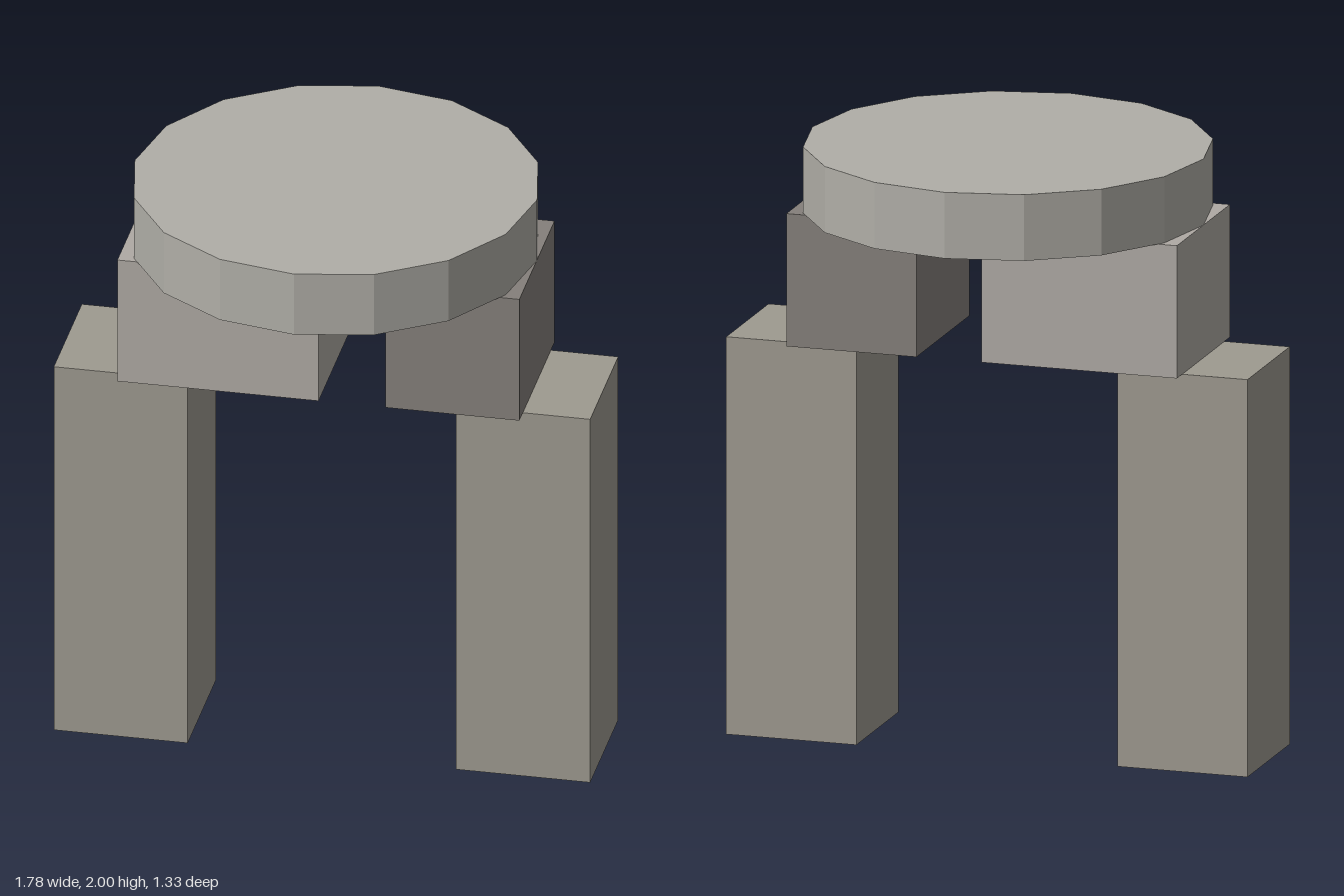
import * as THREE from 'three';

export function createModel() {
  const group = new THREE.Group();

  const add = (name, geometry, color, x, y) => {
    const material = new THREE.MeshStandardMaterial({ color, flatShading: true });
    const mesh = new THREE.Mesh(geometry, material);
    mesh.name = name;
    mesh.position.set(x, y, 0);
    group.add(mesh);
  };

  // Two square pillars
  const legHeight = 1.333;
  for (const [name, side] of [['leftPillar', 1], ['rightPillar', -1]]) {
    add(name, new THREE.BoxGeometry(0.444, legHeight, 0.444), 0x9e9a90, side * 0.667, legHeight / 2);
  }

  // Stepped-in blocks on the pillars, the right one reaching the middle
  const blockHeight = 0.445;
  const blockY = legHeight + blockHeight / 2;
  add('leftBlock', new THREE.BoxGeometry(0.444, blockHeight, 0.556), 0x85807b, 0.444, blockY);
  add('rightBlock', new THREE.BoxGeometry(0.667, blockHeight, 0.556), 0xafaaa4, -0.333, blockY);

  // Sixteen-sided capstone
  add('capstone', new THREE.CylinderGeometry(0.667, 0.667, 0.222, 16), 0xb0aea7, 0, 1.889);

  return group;
}
